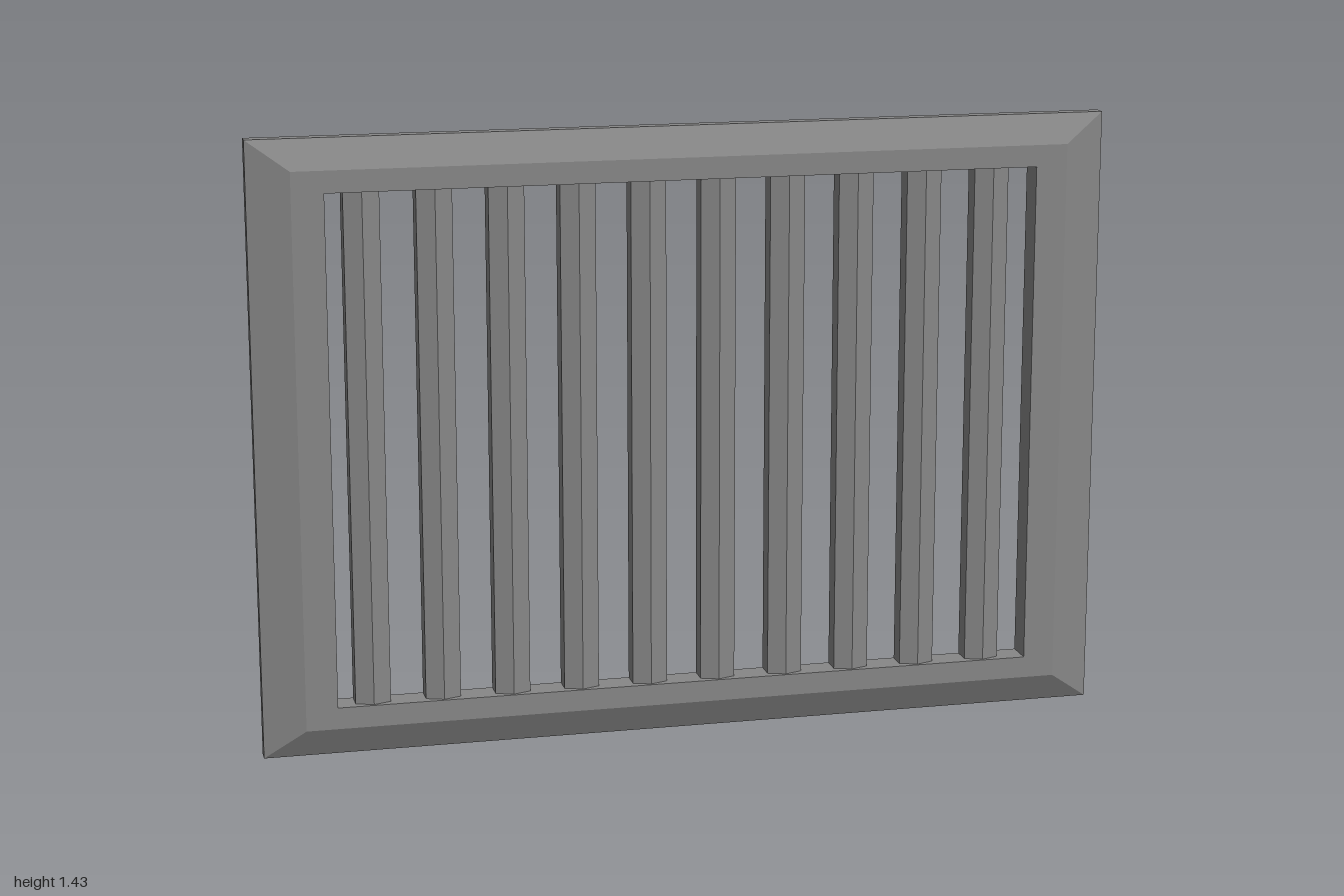
import * as THREE from 'three';

const MID_Y = 0.717;

// Joins a closed series of rectangular rings [halfWidth, halfHeight, z] into a mitred frame.
function frameGeometry(rings) {
  const corners = [[-1, -1], [1, -1], [1, 1], [-1, 1]];
  const point = ([w, h, z], c) => [corners[c % 4][0] * w, corners[c % 4][1] * h, z];
  const positions = [];
  rings.forEach((a, i) => {
    const b = rings[(i + 1) % rings.length];
    for (let c = 0; c < 4; c++) {
      const a0 = point(a, c), a1 = point(a, c + 1), b0 = point(b, c), b1 = point(b, c + 1);
      positions.push(...a0, ...a1, ...b1, ...a0, ...b1, ...b0);
    }
  });
  const geometry = new THREE.BufferGeometry();
  geometry.setAttribute('position', new THREE.Float32BufferAttribute(positions, 3));
  geometry.computeVertexNormals();
  return geometry;
}

export function createModel() {
  const model = new THREE.Group();
  model.name = 'ventGrille';
  const material = new THREE.MeshStandardMaterial({ color: 0x878787 });

  // Bevelled surround, its back rising very slightly towards the opening
  const frame = new THREE.Mesh(frameGeometry([
    [1, 0.717, -0.032],
    [1, 0.717, 0],
    [0.904, 0.648, 0.034],
    [0.83, 0.597, 0.034],
    [0.83, 0.597, -0.034],
  ]), material);
  frame.name = 'frame';
  frame.position.y = MID_Y;
  model.add(frame);

  // Upright chevron bars, pointing forward and hollowed at the back, their ends set into the frame
  const barLength = 1.2;
  const section = new THREE.Shape([
    [0, -0.028], [0.041, -0.013], [0.041, 0.033], [0, 0.018], [-0.041, 0.033], [-0.041, -0.013],
  ].map(([x, y]) => new THREE.Vector2(x, y)));
  const barGeometry = new THREE.ExtrudeGeometry(section, { depth: barLength, bevelEnabled: false });
  barGeometry.translate(0, 0, -barLength / 2).rotateX(-Math.PI / 2);

  const bars = new THREE.Group();
  bars.name = 'bars';
  for (let i = 0; i < 10; i++) {
    const bar = new THREE.Mesh(barGeometry, material);
    bar.name = 'bar';
    bar.position.set(-0.746 + i * 0.1637, MID_Y, 0);
    bars.add(bar);
  }
  model.add(bars);

  return model;
}
